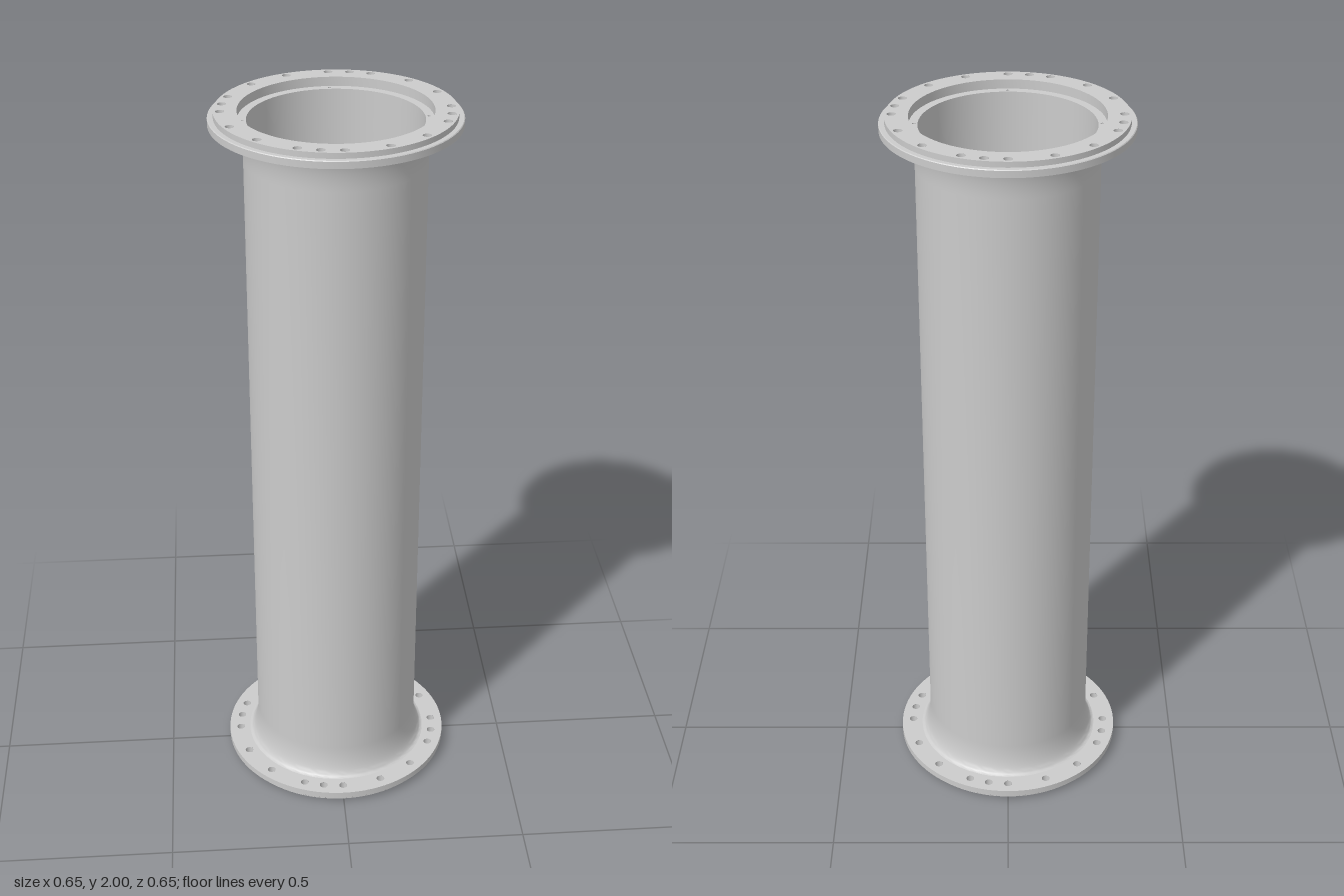
import * as THREE from 'three';
import { toCreasedNormals } from 'three/addons/utils/BufferGeometryUtils.js';

const SEG = 96, H = 2;
const BORE = 0.227, WALL = 0.237, RECESS = 0.25, FLARE = 0.264, LIP = 0.31, RIM = 0.325;
const STEP_Y = 0.015, BACK_Y = 0.035, LEDGE_Y = 0.025, FLARE_Y = 0.13;
const BOLT_R = 0.292, BOLT_HOLE = 0.0115, PIN_R = 0.2365, PIN_HOLE = 0.0045, PIN_DEPTH = 0.01;

const material = new THREE.MeshStandardMaterial({ color: 0xcccccc });
const inside = new THREE.MeshStandardMaterial({ color: 0xcccccc, side: THREE.DoubleSide });

// Points [x, z] on a circle at the given angles in degrees
const onCircle = (r, degrees) => degrees.map((d) => {
  const a = THREE.MathUtils.degToRad(d);
  return [r * Math.cos(a), r * Math.sin(a)];
});

// Sixteen even bolt holes and one extra per quarter; four pin holes
const boltAngles = [];
for (let i = 0; i < 16; i++) boltAngles.push(i * 22.5);
for (let i = 0; i < 4; i++) boltAngles.push(11.25 + i * 90);
const bolts = onCircle(BOLT_R, boltAngles);
const pins = onCircle(PIN_R, [0, 90, 180, 270]);

function add(group, name, geometry, mat = material) {
  const mesh = new THREE.Mesh(geometry, mat);
  mesh.name = name;
  group.add(mesh);
  return mesh;
}

// Surface of revolution; the profile climbs for outward faces
function lathe(points) {
  const profile = points.map(([r, y]) => new THREE.Vector2(r, y));
  return toCreasedNormals(new THREE.LatheGeometry(profile, SEG), 0.5);
}

// Flat ring with round holes, facing up or down
function ring(inner, outer, holes, holeR, y, up) {
  const shape = new THREE.Shape().absarc(0, 0, outer, 0, Math.PI * 2);
  shape.holes.push(new THREE.Path().absarc(0, 0, inner, 0, Math.PI * 2, true));
  for (const [x, z] of holes) {
    shape.holes.push(new THREE.Path().absarc(x, up ? -z : z, holeR, 0, Math.PI * 2, true));
  }
  return new THREE.ShapeGeometry(shape, SEG / 2)
    .rotateX(up ? -Math.PI / 2 : Math.PI / 2).translate(0, y, 0);
}

// One stepped bolting flange, at the top or the bottom
function makeFlange(top) {
  const g = new THREE.Group();
  g.name = top ? 'topFlange' : 'bottomFlange';
  const at = (y) => (top ? H - y : y);
  const turned = (points) => {
    const p = points.map(([r, y]) => [r, at(y)]);
    return lathe(top ? p.reverse() : p);
  };

  add(g, 'flangeRim', turned([[LIP, 0], [LIP, STEP_Y], [RIM - 0.002, STEP_Y],
    [RIM, STEP_Y + 0.002], [RIM, BACK_Y]]));
  add(g, 'flangeFace', ring(RECESS, LIP, bolts, BOLT_HOLE, at(0), top));
  add(g, 'flangeBack', ring(FLARE, RIM, bolts, BOLT_HOLE, at(BACK_Y), !top));
  add(g, 'recessWall', turned([[RECESS, LEDGE_Y], [RECESS, 0]]));
  add(g, 'recessLedge', ring(BORE, RECESS, pins, PIN_HOLE, at(LEDGE_Y), top));

  // Bolt hole walls, and blind pin holes with a floor
  for (const [x, z] of bolts) {
    add(g, 'boltHole', new THREE.CylinderGeometry(BOLT_HOLE, BOLT_HOLE, BACK_Y, 24, 1, true), inside)
      .position.set(x, at(BACK_Y / 2), z);
  }
  for (const [x, z] of pins) {
    add(g, 'pinHole', new THREE.CylinderGeometry(PIN_HOLE, PIN_HOLE, PIN_DEPTH, 16, 1, true), inside)
      .position.set(x, at(LEDGE_Y + PIN_DEPTH / 2), z);
    const floor = add(g, 'pinHoleFloor', new THREE.CircleGeometry(PIN_HOLE, 16), inside);
    floor.rotation.x = -Math.PI / 2;
    floor.position.set(x, at(LEDGE_Y + PIN_DEPTH), z);
  }
  return g;
}

export function createModel() {
  const model = new THREE.Group();
  model.name = 'flangedPipe';

  // Pipe wall, flaring in a quarter ellipse at both ends
  const flare = [];
  for (let i = 0; i <= 12; i++) {
    const a = (i / 12) * Math.PI / 2;
    flare.push([FLARE - (FLARE - WALL) * Math.sin(a), FLARE_Y - (FLARE_Y - BACK_Y) * Math.cos(a)]);
  }
  const upper = flare.map(([r, y]) => [r, H - y]).reverse();
  add(model, 'pipeOuterWall', lathe([...flare, ...upper]));
  add(model, 'pipeInnerWall', lathe([[BORE, H - LEDGE_Y], [BORE, LEDGE_Y]]));

  model.add(makeFlange(false), makeFlange(true));
  return model;
}
